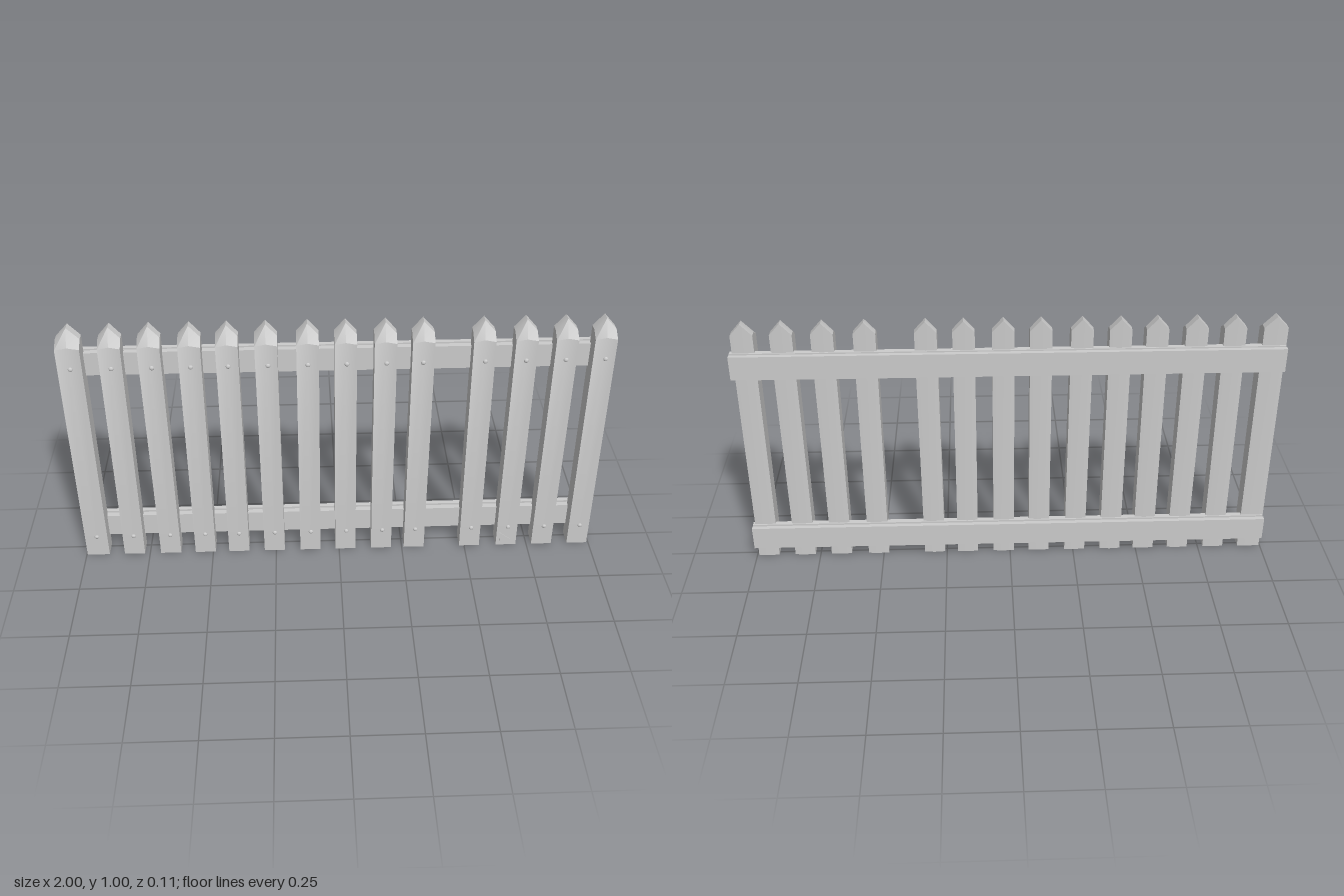
import * as THREE from 'three';
import { toCreasedNormals } from 'three/addons/utils/BufferGeometryUtils.js';

const FRONT = 0.05, BACK = -0.021, MID = 0.013;

// Post with a gabled top whose front is bevelled back to the ridge
function picketGeometry(width, lean) {
  const g = new THREE.BoxGeometry(width, 1, FRONT - BACK, 2, 1, 2);
  const p = g.attributes.position;
  for (let i = 0; i < p.count; i++) {
    const x = p.getX(i), z = p.getZ(i), top = p.getY(i) > 0;
    const centre = Math.abs(x) < 0.001;
    const front = z > 0.01, back = z < -0.01;
    let y = 0;
    if (top) y = front ? (centre ? 0.945 : 0.937) : (centre ? 1.005 : 0.96);
    // back face is slightly crowned
    const zz = front ? FRONT : back ? BACK + (centre ? 0 : 0.003) : MID;
    p.setXYZ(i, x + (top ? lean : 0), y, zz);
  }
  return toCreasedNormals(g, 0.7);
}

export function createModel() {
  const fence = new THREE.Group();
  fence.name = 'picketFence';
  const wood = new THREE.MeshStandardMaterial({ color: 0xcccccc });
  wood.name = 'paleGrey';

  const add = (geometry, name, x, y, z, parent = fence) => {
    const mesh = new THREE.Mesh(geometry, wood);
    mesh.name = name;
    mesh.position.set(x, y, z);
    parent.add(mesh);
    return mesh;
  };

  // Nail: domed head in front, shank reaching the outer rail
  const headGeo = new THREE.SphereGeometry(0.009, 10, 6, 0, Math.PI * 2, 0, Math.PI / 2);
  headGeo.scale(1, 0.7, 1).rotateX(Math.PI / 2);
  const shankGeo = new THREE.CylinderGeometry(0.004, 0.004, 0.095, 8);
  shankGeo.rotateX(Math.PI / 2);

  // Pickets, with one missing from the row
  const centres = [-0.953, -0.81, -0.667, -0.53, -0.397, -0.256, -0.114,
    0.025, 0.167, 0.298, 0.52, 0.667, 0.81, 0.953];
  centres.forEach((x, i) => {
    const picket = new THREE.Group();
    picket.name = 'picket' + (i + 1);
    picket.position.x = x;
    fence.add(picket);
    const lean = 0.003 * Math.sin(i * 2.3);
    add(picketGeometry(i === 0 ? 0.087 : 0.08, lean), 'post', 0, 0, 0, picket);
    for (const y of [0.09, 0.858]) {
      add(headGeo, 'nailHead', 0.003, y, FRONT - 0.0005, picket);
      add(shankGeo, 'nailShank', 0.003, y, 0.001, picket);
    }
  });

  // Upper and lower rails, each a pair of boards with a narrow gap
  for (const [name, y] of [['upperRail', 0.846], ['lowerRail', 0.104]]) {
    add(new THREE.BoxGeometry(1.995, 0.092, 0.021), name + 'Inner', 0.0025, y, -0.0145);
    add(new THREE.BoxGeometry(1.995, 0.092, 0.017), name + 'Outer', 0.0025, y, -0.0435);
  }

  // Splintered chip at the foot of one picket
  const chip = new THREE.Shape([[-0.031, 0.065], [-0.026, 0.018], [0.014, 0.03]]
    .map(([x, y]) => new THREE.Vector2(x, y)));
  const chipGeo = new THREE.ExtrudeGeometry(chip, { depth: 0.003, bevelEnabled: false });
  add(chipGeo, 'splinter', 0.667, 0, FRONT - 0.001);

  return fence;
}
